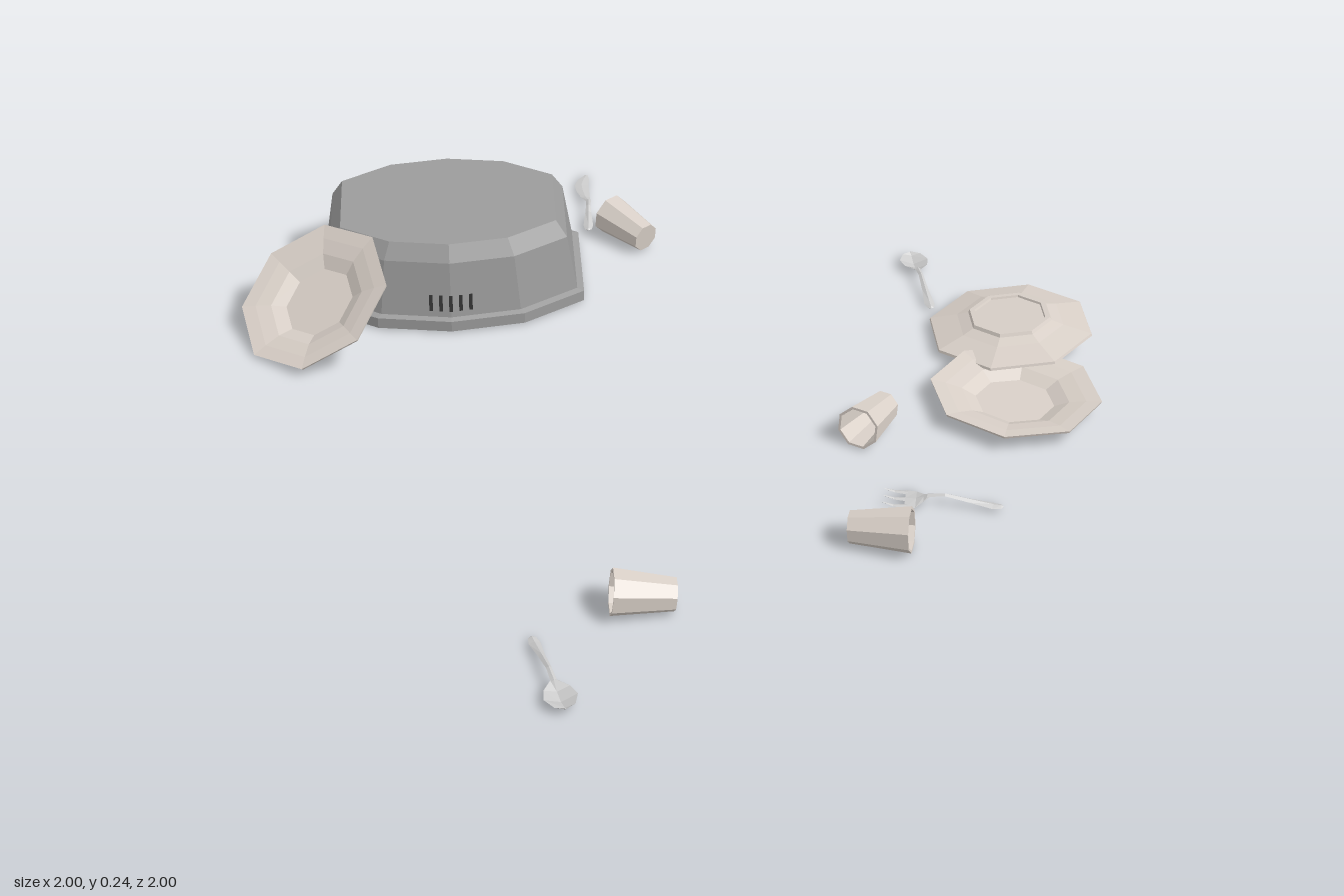
import * as THREE from 'three';

const mat = (color) => new THREE.MeshStandardMaterial({ color, flatShading: true, side: THREE.DoubleSide });
const china = mat(0xd9d0c8), steel = mat(0xcccccc), tub = mat(0x9c9c9c), dark = mat(0x333333);

// Skins a list of closed rings of equal point count
function loft(rings) {
  const n = rings[0].length, pos = [], idx = [];
  rings.forEach((r) => r.forEach((p) => pos.push(...p)));
  for (let i = 0; i < rings.length - 1; i++) {
    for (let j = 0; j < n; j++) {
      const a = i * n + j, b = i * n + (j + 1) % n;
      idx.push(a, b, a + n, b, b + n, a + n);
    }
  }
  const g = new THREE.BufferGeometry();
  g.setAttribute('position', new THREE.Float32BufferAttribute(pos, 3));
  g.setIndex(idx);
  g.computeVertexNormals();
  return g;
}

function add(parent, name, geo, material) {
  const m = new THREE.Mesh(geo, material);
  m.name = name;
  parent.add(m);
  return m;
}

function lathe(points) {
  return new THREE.LatheGeometry(points.map(([r, y]) => new THREE.Vector2(r, y)), 8);
}

// Overturned oval basin, hollow underneath
function basin() {
  const g = new THREE.Group();
  g.name = 'basin';
  const half = [[0.34, -0.15], [0.34, 0.15], [0.185, 0.25], [0, 0.28], [-0.185, 0.25]];
  const outline = [...half, ...half.map(([x, z]) => [-x, -z])];
  const profile = [[0, 0.233], [0.8, 0.233], [0.88, 0.19], [0.95, 0.045], [1, 0.04], [1, 0.012],
    [0.94, 0.012], [0.93, 0.04], [0.86, 0.185], [0.78, 0.223], [0, 0.223]];
  add(g, 'basinShell', loft(profile.map(([s, y]) => outline.map(([x, z]) => [x * s, y, z * s]))), tub);
  // Row of narrow slots in the long wall
  for (let i = -2; i <= 2; i++) {
    const x = i * 0.025;
    const slot = add(g, 'basinSlot', new THREE.BoxGeometry(0.009, 0.042, 0.008), dark);
    slot.position.set(x, 0.082, 0.26 - Math.abs(x) * 0.16);
    slot.rotation.x = -0.14;
  }
  g.position.set(-0.667, 0, 0.02);
  g.rotation.y = 0.885;
  return g;
}

// Octagonal plate with a well and a foot ring
function plate(name, position, rotation, spin) {
  const g = new THREE.Group();
  g.name = name;
  const geo = lathe([[0, 0.005], [0.088, 0.005], [0.09, 0], [0.102, 0], [0.106, 0.008], [0.135, 0.018],
    [0.205, 0.036], [0.207, 0.042], [0.17, 0.037], [0.13, 0.028], [0.095, 0.011], [0, 0.011]]);
  add(g, name + 'Dish', geo, china).rotation.y = spin;
  g.position.set(...position);
  g.rotation.set(...rotation);
  return g;
}

// Eight-sided tumbler lying on its side, mouth towards (dx, dz)
function cup(x, z, dx, dz) {
  const g = new THREE.Group();
  g.name = 'cup';
  const geo = lathe([[0, -0.07], [0.038, -0.07], [0.054, 0.07], [0.048, 0.07], [0.034, -0.06], [0, -0.06]]);
  geo.rotateY(Math.PI / 8);
  geo.rotateZ(-Math.PI / 2 + 0.11);
  add(g, 'cupBody', geo, china);
  g.position.set(x, 0.055, z);
  g.rotation.y = Math.atan2(-dz, dx);
  return g;
}

// Flat tapered bar; rows are [along, half width, height, thickness, side offset, hollow]
function bar(rows) {
  return loft(rows.map(([x, w, y, t, o = 0, d = 0]) =>
    [[x, y, o - w], [x, y - d + t, o], [x, y, o + w], [x, y - d - t, o]]));
}

// Places a utensil with its head at one point and its handle end at another
function utensil(name, [x0, z0], [x1, z1], parts) {
  const g = new THREE.Group();
  g.name = name;
  parts.forEach(([part, rows]) => add(g, part, bar(rows), steel));
  g.position.set(x0, 0, z0);
  g.rotation.y = Math.atan2(z0 - z1, x1 - x0);
  return g;
}

const handle = (start, end) => [[start, 0.007, 0.03, 0.004], [start + 0.04, 0.006, 0.036, 0.004],
  [end - 0.08, 0.008, 0.026, 0.005], [end - 0.025, 0.013, 0.017, 0.005],
  [end - 0.005, 0.009, 0.017, 0.004], [end, 0.001, 0.017, 0.001]];

const spoonParts = (len) => [
  ['bowl', [[0, 0.002, 0.028, 0.001], [0.01, 0.023, 0.028, 0.002, 0, 0.008],
    [0.04, 0.037, 0.028, 0.002, 0, 0.016], [0.07, 0.029, 0.028, 0.002, 0, 0.012],
    [0.095, 0.007, 0.03, 0.004]]],
  ['handle', handle(0.09, len)],
];

const forkParts = (len) => [
  ['palm', [[0.05, 0.036, 0.014, 0.003], [0.075, 0.033, 0.015, 0.004],
    [0.092, 0.016, 0.022, 0.004], [0.105, 0.007, 0.03, 0.004]]],
  ...[-1, 0, 1].map((s) => ['tine', [[0, 0.001, 0.02, 0.001, s * 0.027],
    [0.025, 0.005, 0.014, 0.002, s * 0.028], [0.055, 0.008, 0.014, 0.003, s * 0.027]]]),
  ['handle', handle(0.1, len)],
];

const knifeParts = (len) => [
  ['blade', [[0, 0.004, 0.014, 0.001, 0.006], [0.025, 0.015, 0.014, 0.002, 0.013],
    [0.06, 0.019, 0.015, 0.003, 0.019], [0.1, 0.017, 0.018, 0.003, 0.015],
    [0.14, 0.012, 0.022, 0.003, 0.008], [0.175, 0.007, 0.03, 0.004]]],
  ['handle', handle(0.17, len)],
];

export function createModel() {
  const model = new THREE.Group();
  model.name = 'tableware';
  model.add(basin());

  // Leaning, upright and overturned plates
  model.add(plate('leaningPlate', [-0.665, 0.098, 0.438], [0.62, 0, -0.03], -0.17));
  model.add(plate('uprightPlate', [0.73, 0.008, -0.585], [0, 0, 0], -0.21));
  model.add(plate('overturnedPlate', [0.525, 0.085, -0.8], [Math.PI + 0.06, 0, -0.08], 0.31));

  // Cups
  model.add(cup(-0.485, -0.44, -1, 0));
  model.add(cup(0.575, -0.24, 0.27, 0.96));
  model.add(cup(0.895, 0.075, 0.84, -0.55));
  model.add(cup(0.705, 0.625, -0.62, 0.78));

  // Cutlery
  model.add(utensil('backSpoon', [0.09, -0.92], [0.305, -0.76], spoonParts(0.268)));
  model.add(utensil('frontSpoon', [0.855, 0.985], [0.615, 0.87], spoonParts(0.266)));
  model.add(utensil('fork', [0.78, -0.062], [0.997, -0.232], forkParts(0.275)));
  model.add(utensil('knife', [-0.815, -0.6], [-0.585, -0.39], knifeParts(0.31)));
  return model;
}
